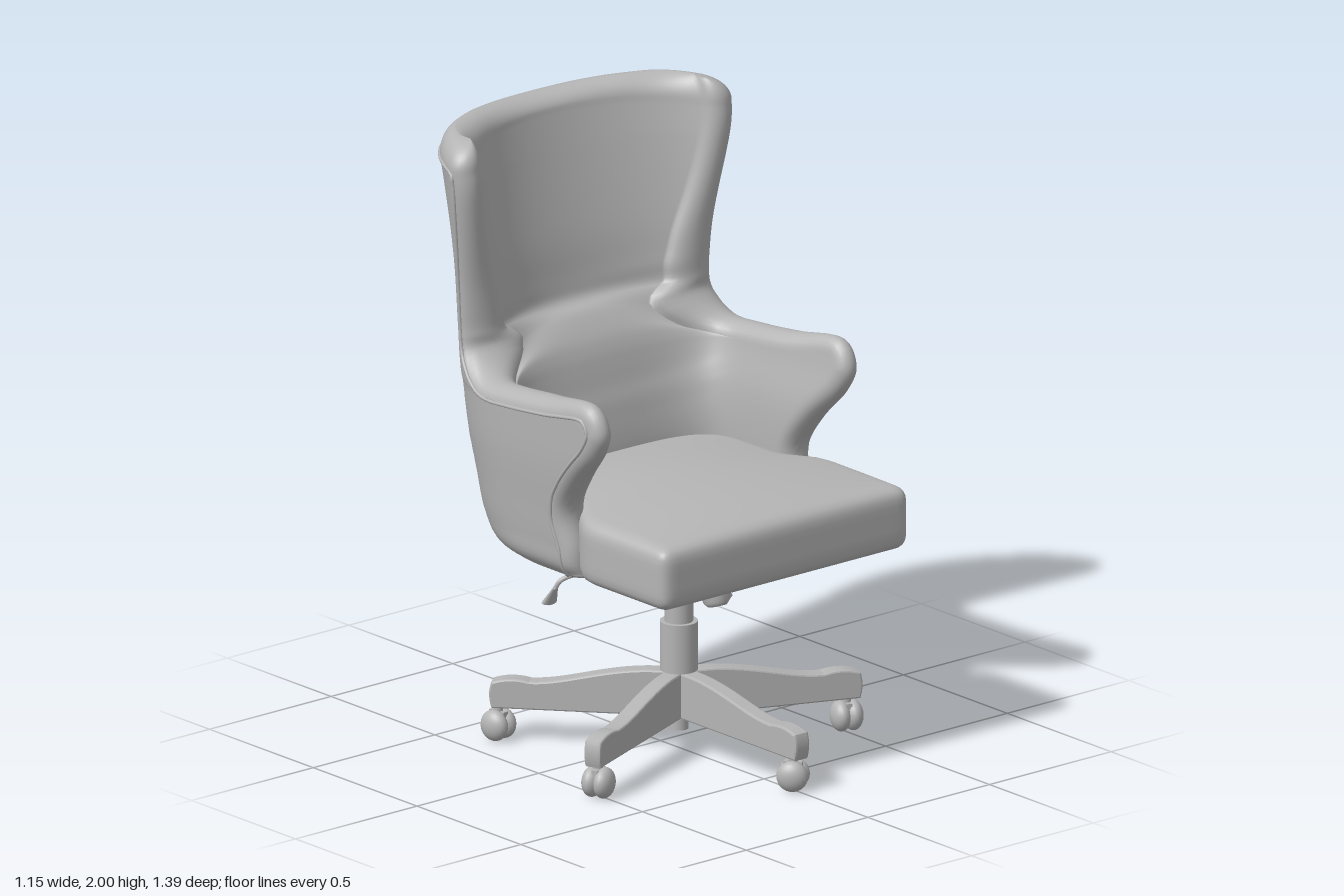
import * as THREE from 'three';
import { mergeVertices } from 'three/addons/utils/BufferGeometryUtils.js';

const grey = new THREE.MeshStandardMaterial({ color: 0xb5b5b5 });
grey.name = 'grey';
const { lerp, smoothstep } = THREE.MathUtils;
const V = (x, y, z) => new THREE.Vector3(x, y, z);

function add(parent, name, geometry, x = 0, y = 0, z = 0) {
  const mesh = new THREE.Mesh(geometry, grey);
  mesh.name = name;
  mesh.position.set(x, y, z);
  parent.add(mesh);
  return mesh;
}

function tube(points, radius, segments = 40) {
  return new THREE.TubeGeometry(new THREE.CatmullRomCurve3(points), segments, radius, 8);
}

// Box with rounded edges, a crowned top and a rear that narrows between the arms
function cushion(w, h, d, r, crown) {
  let g = new THREE.BoxGeometry(2, 2, 2, 32, 12, 32);
  g.deleteAttribute('uv');
  g.deleteAttribute('normal');
  const p = g.attributes.position, half = V(w / 2, h / 2, d / 2);
  const inner = half.clone().subScalar(r), v = V(), q = V();
  for (let i = 0; i < p.count; i++) {
    v.fromBufferAttribute(p, i);
    v.set(...v.toArray().map(a => Math.sin(a * Math.PI / 2))).multiply(half);
    q.copy(v).clamp(inner.clone().negate(), inner);
    v.sub(q).setLength(r).add(q);
    const k = (1 - (v.x / half.x) ** 2) * (1 - Math.abs(v.z / half.z) ** 3);
    if (v.y > 0) v.y += crown * k * v.y / half.y;
    v.x *= lerp(.84, 1, smoothstep(v.z, -.09, .08));
    p.setXYZ(i, v.x, v.y, v.z);
  }
  g = mergeVertices(g, 1e-4);
  g.computeVertexNormals();
  return g;
}

// Smooth value over height from [height, value] pairs
function overHeight(pairs) {
  const f = new THREE.CubicInterpolant(pairs.map(p => p[0]), pairs.map(p => p[1]), 1);
  return y => f.evaluate(y)[0];
}

const outerWidth = overHeight([[.68, .475], [.71, .50], [.78, .512], [.9, .525], [1.05, .54],
  [1.2, .546], [1.4, .55], [1.6, .558], [1.9, .578], [2, .58]]);
const innerWidth = overHeight([[.68, .40], [1.05, .40], [1.2, .43], [1.4, .46], [1.95, .50]]);
const innerDepth = overHeight([[.68, .25], [1.1, .25], [1.4, .22], [1.95, .32]]);

// Shell rows: rim z, rim y, back z, back y, inner back z
const ROWS = [
  [.165, .68, -.39, .68, -.23],
  [.165, .70, -.43, .70, -.23],
  [.16, .78, -.475, .78, -.23],
  [.135, .90, -.50, .88, -.23],
  [.20, 1.01, -.515, .94, -.235],
  [.30, 1.12, -.53, 1.0, -.245],
  [.335, 1.21, -.54, 1.05, -.255],
  [.27, 1.29, -.55, 1.10, -.27],
  [.08, 1.268, -.56, 1.16, -.285],
  [-.10, 1.25, -.57, 1.21, -.30],
  [-.23, 1.25, -.58, 1.26, -.325],
  [-.305, 1.31, -.592, 1.32, -.375],
  [-.318, 1.36, -.598, 1.35, -.425],
  [-.32, 1.42, -.607, 1.41, -.44],
  [-.315, 1.55, -.625, 1.55, -.46],
  [-.29, 1.78, -.66, 1.78, -.51],
  [-.285, 1.86, -.672, 1.87, -.53],
  [-.29, 1.92, -.684, 1.937, -.545],
];
const N = 28, CAP = 11, RIM = .05;

// Plan of half a row, from the rim at z0 along the side and round to the back centre
function planRow(width, n, depth, zBack, yBack, z0, y0) {
  const straight = Math.max(0, z0 - zBack - depth);
  const f = straight / (straight + .6);
  const u0 = Math.max(0, 1 - (z0 - zBack) / depth);
  const a0 = Math.asin(u0 ** (n / 2));
  return Array.from({ length: N + 1 }, (_, k) => {
    const t = k / N, y = lerp(y0, yBack, Math.sin(t * Math.PI / 2));
    if (t < f) {
      const z = z0 - straight * t / f;
      return V(width(y, z), y, z);
    }
    const a = lerp(a0, Math.PI / 2, (t - f) / (1 - f));
    const z = zBack + depth * (1 - Math.sin(a) ** (2 / n));
    return V(width(y, z) * Math.max(0, Math.cos(a)) ** (2 / n), y, z);
  });
}

function shellHalves() {
  const curve = f => new THREE.CatmullRomCurve3(ROWS.map(f), false, 'catmullrom', 0.5);
  const rim = curve(r => V(r[0], r[1], 0));
  const back = curve(r => V(r[2], r[3], r[4]));
  const steps = (ROWS.length - 1) * 5, halves = [];
  for (let i = 0; i <= steps; i++) {
    const t = i / steps, e = rim.getPoint(t), b = back.getPoint(t);
    const tan = rim.getTangent(t), nz = tan.y, ny = -tan.x;
    const z0 = e.x - nz * RIM, y0 = e.y - ny * RIM;
    const outer = planRow(outerWidth, lerp(2.6, 2, smoothstep(b.y, .8, 1.8)), .42, b.x, b.y, z0, y0);
    const inner = planRow((y, z) => innerWidth(y) + .035 * smoothstep(z, 0, .3),
      lerp(4, 2, smoothstep(b.y, 1.1, 1.42)), innerDepth(b.y), b.z, b.y, z0, y0);
    // rounded rim between the inner and outer faces
    const cap = [];
    for (let k = 1; k < CAP; k++) {
      const a = k / CAP * Math.PI, s = RIM * Math.sin(a);
      cap.push(V(lerp(inner[0].x, outer[0].x, (1 - Math.cos(a)) / 2), y0 + ny * s, z0 + nz * s));
    }
    halves.push([...inner.reverse(), ...cap, ...outer]);
  }
  // rounded top edge, drawn in at the wing corners
  const last = halves[halves.length - 1];
  for (let k = 1; k <= 10; k++) {
    const a = k / 10 * Math.PI / 2, c = Math.cos(a);
    halves.push(last.map((p, j) => {
      const mid = p.clone().add(last[last.length - 1 - j]).multiplyScalar(.5);
      const corner = smoothstep(mid.x, .3, .53) * (1 - c);
      const topY = 1.985 + .015 * smoothstep(mid.x, 0, .4);
      const q = mid.lerp(p, c);
      return V(q.x - .045 * corner, lerp(p.y, topY, Math.sin(a)), q.z - .07 * corner);
    }));
  }
  return halves;
}

const mirror = p => V(-p.x, p.y, p.z);

function loft(halves) {
  const loops = halves.map(h => [...h, ...h.slice(1, -1).reverse().map(mirror)]);
  const n = loops[0].length, index = [];
  for (let i = 0; i < loops.length - 1; i++) for (let j = 0; j < n; j++) {
    const a = i * n + j, b = i * n + (j + 1) % n;
    index.push(a, b, b + n, a, b + n, a + n);
  }
  const g = new THREE.BufferGeometry().setFromPoints(loops.flat());
  g.setIndex(index);
  g.computeVertexNormals();
  return g;
}

function buildCaster(parent, x, z, turn) {
  const caster = new THREE.Group();
  caster.name = 'caster';
  caster.position.set(x, 0, z);
  caster.rotation.y = turn;
  parent.add(caster);
  for (const s of [-1, 1])
    add(caster, 'casterWheel', new THREE.SphereGeometry(.05, 20, 14), s * .02, .055, 0).scale.x = .65;
  add(caster, 'casterFork', new THREE.BoxGeometry(.02, .06, .06), 0, .07, 0);
  add(caster, 'casterStem', new THREE.CylinderGeometry(.014, .014, .05, 12), 0, .105, 0);
}

export function createModel() {
  const chair = new THREE.Group();
  chair.name = 'officeChair';

  // Upholstered shell with arms and wings
  const halves = shellHalves();
  add(chair, 'shell', loft(halves));
  const under = halves[0].slice(N + CAP);
  const outline = [...under, ...under.slice(0, -1).reverse().map(mirror)];
  const panel = new THREE.ShapeGeometry(new THREE.Shape(outline.map(p => new THREE.Vector2(p.x, p.z))));
  add(chair, 'undersidePanel', panel.rotateX(Math.PI / 2), 0, .683, 0);

  // Piping along the outer seam, up one side, over the top and down the other
  const body = halves.slice(0, -10), top = body[body.length - 1].slice(N + CAP + 1);
  const seam = [...body.filter((_, i) => i % 2 === 0).map(h => h[N + CAP]), ...top.filter((_, i) => i % 3 === 2)];
  add(chair, 'piping', tube([...seam, ...seam.slice().reverse().map(mirror)], .006, 260));

  add(chair, 'seatCushion', cushion(1.02, .205, .895, .045, .035), 0, .785, .1675);

  // Gas column and hub
  const base = new THREE.Group();
  base.name = 'base';
  base.position.z = .09;
  chair.add(base);
  const column = [[.045, .41, .69], [.06, .265, .425], [.045, .11, .268], [.03, .07, .115]];
  for (const [r, y0, y1] of column)
    add(base, 'column', new THREE.CylinderGeometry(r, r, y1 - y0, 28), 0, (y0 + y1) / 2, 0);

  // Five legs, each pointing at its caster
  const profile = new THREE.Shape();
  profile.moveTo(0, .12);
  profile.lineTo(.585, .12);
  profile.quadraticCurveTo(.597, .16, .585, .195);
  profile.quadraticCurveTo(.53, .215, .47, .2);
  profile.bezierCurveTo(.36, .2, .25, .25, .1, .258);
  profile.lineTo(0, .26);
  const legGeo = new THREE.ExtrudeGeometry(profile, {
    depth: .044, bevelThickness: .007, bevelSize: .006, bevelSegments: 2, curveSegments: 12,
  }).translate(0, 0, -.022);
  const casters = [[0, .55], [-.51, .21], [-.375, -.43], [.375, -.43], [.51, .21]];
  casters.forEach(([x, z], i) => {
    add(base, 'leg', legGeo).rotation.y = Math.atan2(-z, x);
    buildCaster(base, x, z, .7 + i * 1.3);
  });

  // Tilt mechanism under the seat
  add(chair, 'mechanismPlate', new THREE.BoxGeometry(.2, .035, .24), -.03, .668, .07);
  add(chair, 'mechanismBar', new THREE.BoxGeometry(.24, .02, .05), -.02, .645, -.03);
  const knob = new THREE.Group();
  knob.name = 'tensionKnob';
  knob.position.set(.018, .69, .2);
  knob.rotation.x = -.3;
  chair.add(knob);
  add(knob, 'knobShaft', new THREE.CylinderGeometry(.042, .042, .13, 20), 0, -.065, 0);
  for (let i = 0; i < 4; i++)
    add(knob, 'spring', new THREE.TorusGeometry(.042, .008, 8, 24).rotateX(Math.PI / 2), 0, -.045 - i * .022, 0);
  const grip = [[0, -.19], [.03, -.188], [.042, -.175], [.05, -.13], [.044, -.118], [0, -.115]];
  add(knob, 'knobGrip', new THREE.LatheGeometry(grip.map(p => new THREE.Vector2(...p)), 20));

  // Height lever
  add(chair, 'heightLever', tube([V(-.08, .65, .02), V(-.16, .645, .01), V(-.29, .62, -.02), V(-.365, .6, -.05), V(-.378, .57, -.065)], .008));
  const handle = add(chair, 'heightHandle', new THREE.CylinderGeometry(.011, .03, .06, 14), -.38, .548, -.075);
  handle.scale.z = .45;
  handle.rotation.x = .5;

  // Ribbed tilt lever
  const leverPath = new THREE.CatmullRomCurve3([V(.04, .66, -.03), V(.1, .61, -.03), V(.25, .47, -.03)]);
  add(chair, 'tiltLever', new THREE.TubeGeometry(leverPath, 30, .013, 10));
  for (let i = 0; i < 12; i++) {
    const t = .15 + i * .06;
    const rib = add(chair, 'leverRib', new THREE.TorusGeometry(.015, .006, 6, 14));
    rib.position.copy(leverPath.getPoint(t));
    rib.lookAt(rib.position.clone().add(leverPath.getTangent(t)));
  }
  add(chair, 'tiltPaddle', new THREE.BoxGeometry(.09, .014, .05), .268, .447, -.03).rotation.z = -.85;
  return chair;
}
